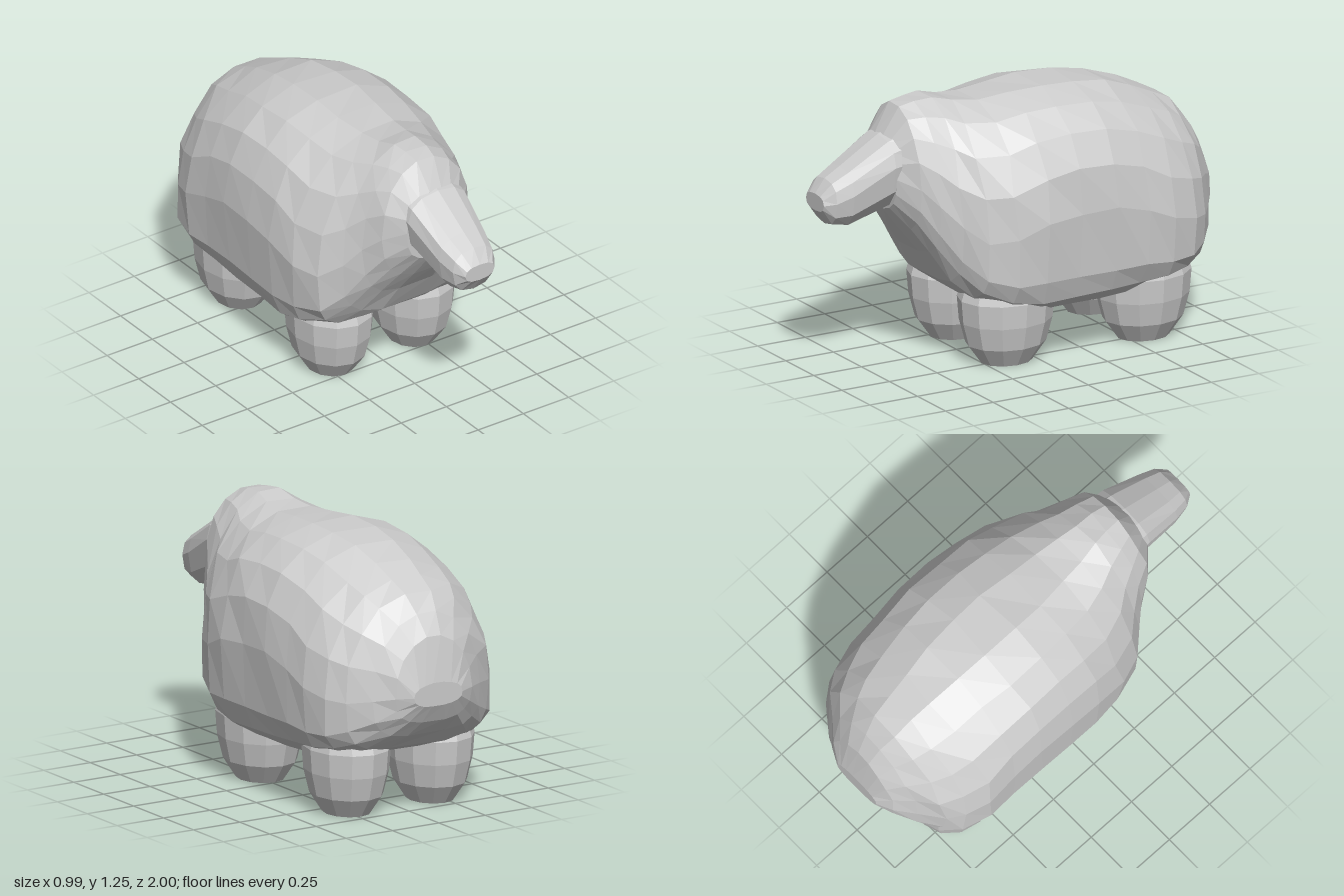
import * as THREE from 'three';

const grey = new THREE.MeshStandardMaterial({ color: 0xcccccc, flatShading: true });
grey.name = 'wool grey';

// Repeatable small offset that makes the wool slightly lumpy
const wobble = (n) => {
  const s = Math.sin(n * 12.9898) * 43758.5453;
  return (s - Math.floor(s)) * 2 - 1;
};
const bend = (v, p) => Math.sign(v) * Math.pow(Math.abs(v), p);

// Closed loft along z, front to back.
// Section: [z, halfWidth, top, bottom, widestHeight, upperRoundness, lowerRoundness]
function loft(sections, sides, lump) {
  const pos = [];
  const index = [];
  const n = sections.length;
  sections.forEach(([z, w, top, bottom, mid, upper, lower], i) => {
    const size = lump * w * 2;
    const end = i === 0 || i === n - 1;
    for (let j = 0; j < sides; j++) {
      const a = (j / sides) * Math.PI * 2;
      const up = Math.sin(a) >= 0;
      const p = up ? upper : lower;
      const h = up ? top - mid : mid - bottom;
      const k = i * sides + j + 1;
      pos.push(
        w * bend(Math.cos(a), p) + size * wobble(k) * 0.5,
        mid + h * bend(Math.sin(a), p) + size * wobble(k + 500) * 0.6,
        z + (end ? 0 : size * wobble(k + 900) * 1.4)
      );
    }
  });
  for (let i = 0; i < n - 1; i++) {
    for (let j = 0; j < sides; j++) {
      const a = i * sides + j, b = i * sides + ((j + 1) % sides);
      const c = a + sides, d = b + sides;
      index.push(a, c, b, b, c, d);
    }
  }
  // End caps
  const last = (n - 1) * sides;
  for (let j = 1; j < sides - 1; j++) {
    index.push(0, j, j + 1, last, last + j + 1, last + j);
  }
  const g = new THREE.BufferGeometry();
  g.setAttribute('position', new THREE.Float32BufferAttribute(pos, 3));
  g.setIndex(index);
  g.computeVertexNormals();
  return g;
}

export function createModel() {
  const model = new THREE.Group();
  model.name = 'sheep';
  const add = (name, geometry) => {
    const mesh = new THREE.Mesh(geometry, grey);
    mesh.name = name;
    model.add(mesh);
    return mesh;
  };

  // Woolly body: narrow chest, full flanks, upper back tapering to both ends
  const body = add('woolBody', loft([
    [0.66, 0.16, 1.10, 0.75, 0.92, 0.9, 0.8],
    [0.58, 0.24, 1.23, 0.64, 0.88, 0.95, 0.75],
    [0.50, 0.29, 1.25, 0.53, 0.80, 0.98, 0.66],
    [0.42, 0.345, 1.25, 0.40, 0.70, 1.0, 0.56],
    [0.33, 0.425, 1.23, 0.32, 0.63, 1.0, 0.49],
    [0.20, 0.475, 1.21, 0.26, 0.64, 0.95, 0.47],
    [0.05, 0.492, 1.225, 0.22, 0.70, 0.88, 0.47],
    [-0.12, 0.492, 1.23, 0.22, 0.72, 0.84, 0.47],
    [-0.30, 0.492, 1.225, 0.22, 0.72, 0.84, 0.47],
    [-0.47, 0.487, 1.20, 0.24, 0.68, 0.9, 0.47],
    [-0.62, 0.485, 1.15, 0.265, 0.62, 0.96, 0.47],
    [-0.74, 0.45, 1.10, 0.29, 0.59, 1.0, 0.48],
    [-0.82, 0.39, 1.05, 0.33, 0.58, 1.0, 0.52],
    [-0.90, 0.29, 0.97, 0.40, 0.59, 1.0, 0.58],
    [-0.96, 0.205, 0.87, 0.47, 0.60, 1.0, 0.68],
    [-1.0, 0.13, 0.66, 0.55, 0.60, 0.9, 0.8],
  ], 18, 0.011));
  body.position.x = 0.003;

  // Head slopes down and tapers to a blunt muzzle
  const head = add('head', loft([
    [1.0, 0.08, 0.87, 0.79, 0.83, 0.8, 0.8],
    [0.95, 0.115, 0.935, 0.72, 0.84, 0.8, 0.8],
    [0.87, 0.135, 0.98, 0.70, 0.87, 0.8, 0.85],
    [0.67, 0.165, 1.10, 0.755, 0.98, 0.85, 0.9],
    [0.52, 0.17, 1.15, 0.80, 1.0, 0.85, 0.9],
  ], 12, 0));
  head.position.x = 0.01;

  // Four stout legs, tapering to flat feet
  const profile = [[0, 0], [0.105, 0], [0.16, 0.09], [0.185, 0.2], [0.193, 0.31], [0.175, 0.38], [0, 0.45]]
    .map(([r, y]) => new THREE.Vector2(r, y));
  for (const [end, z] of [['front', 0.13], ['back', -0.59]]) {
    for (const [side, x] of [['Left', 0.235], ['Right', -0.215]]) {
      const leg = add(end + side + 'Leg', new THREE.LatheGeometry(profile, 12));
      leg.position.set(x, 0, z);
      leg.scale.z = 1.2;
    }
  }
  return model;
}
